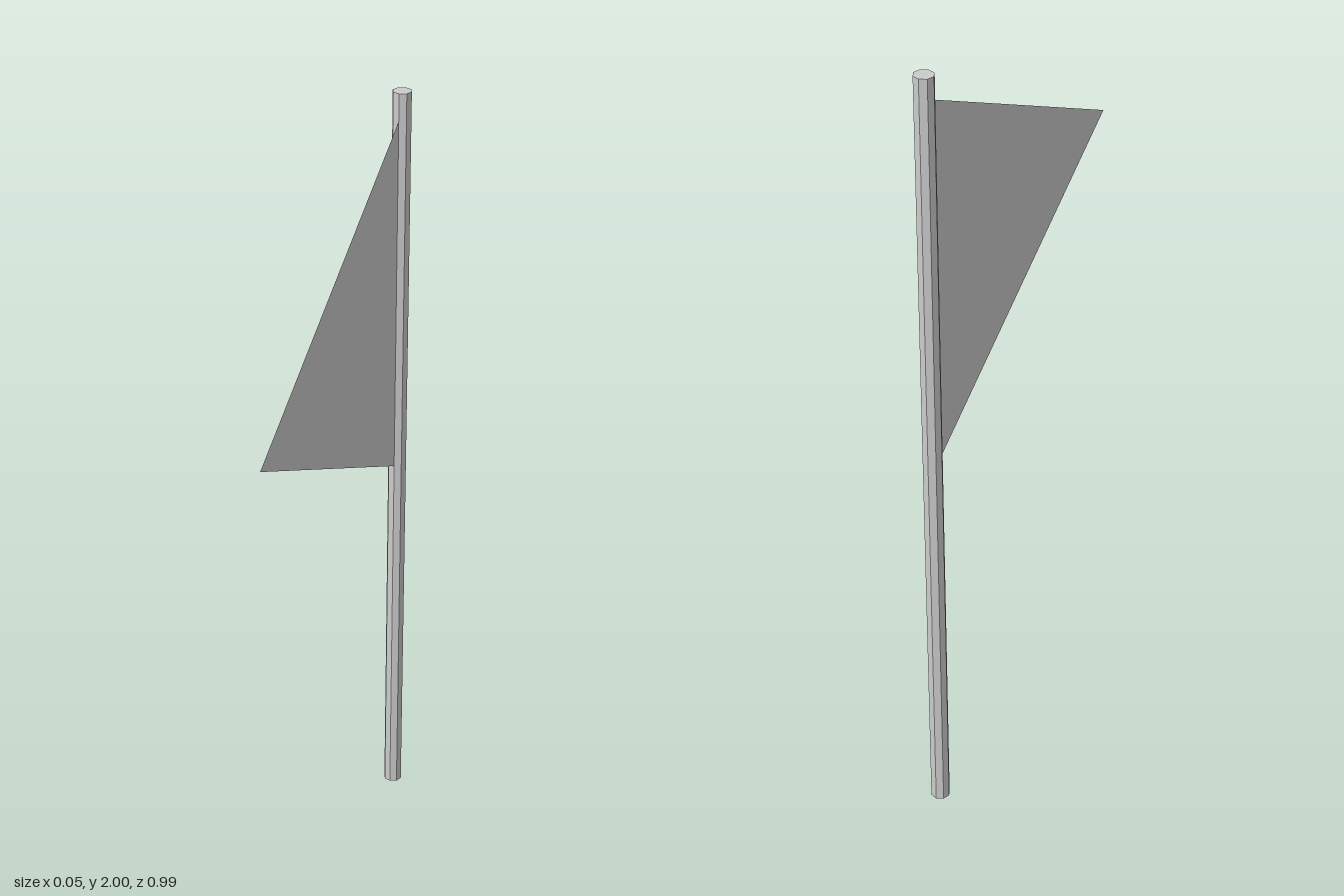
import * as THREE from 'three';

const POLE_Z = -0.469;
const POLE_RADIUS = 0.024;

export function createModel() {
  const model = new THREE.Group();
  model.name = 'pennantOnPole';

  // Eight-sided pole
  const pole = new THREE.Mesh(
    new THREE.CylinderGeometry(POLE_RADIUS, POLE_RADIUS, 2, 8),
    new THREE.MeshStandardMaterial({ color: 0xcccccc, flatShading: true })
  );
  pole.name = 'pole';
  pole.position.set(0, 1, POLE_Z);
  model.add(pole);

  // Thin triangular flag, its straight edge set into the pole
  const outline = new THREE.Shape([
    new THREE.Vector2(0, 0.984),
    new THREE.Vector2(0.962, 1.464),
    new THREE.Vector2(0, 1.943),
  ]);
  const flag = new THREE.Mesh(
    new THREE.ShapeGeometry(outline),
    new THREE.MeshStandardMaterial({ color: 0xcccccc, flatShading: true, side: THREE.DoubleSide })
  );
  flag.name = 'flag';
  flag.rotation.y = -Math.PI / 2; // shape x runs towards +z
  flag.position.z = POLE_Z;
  model.add(flag);

  return model;
}
